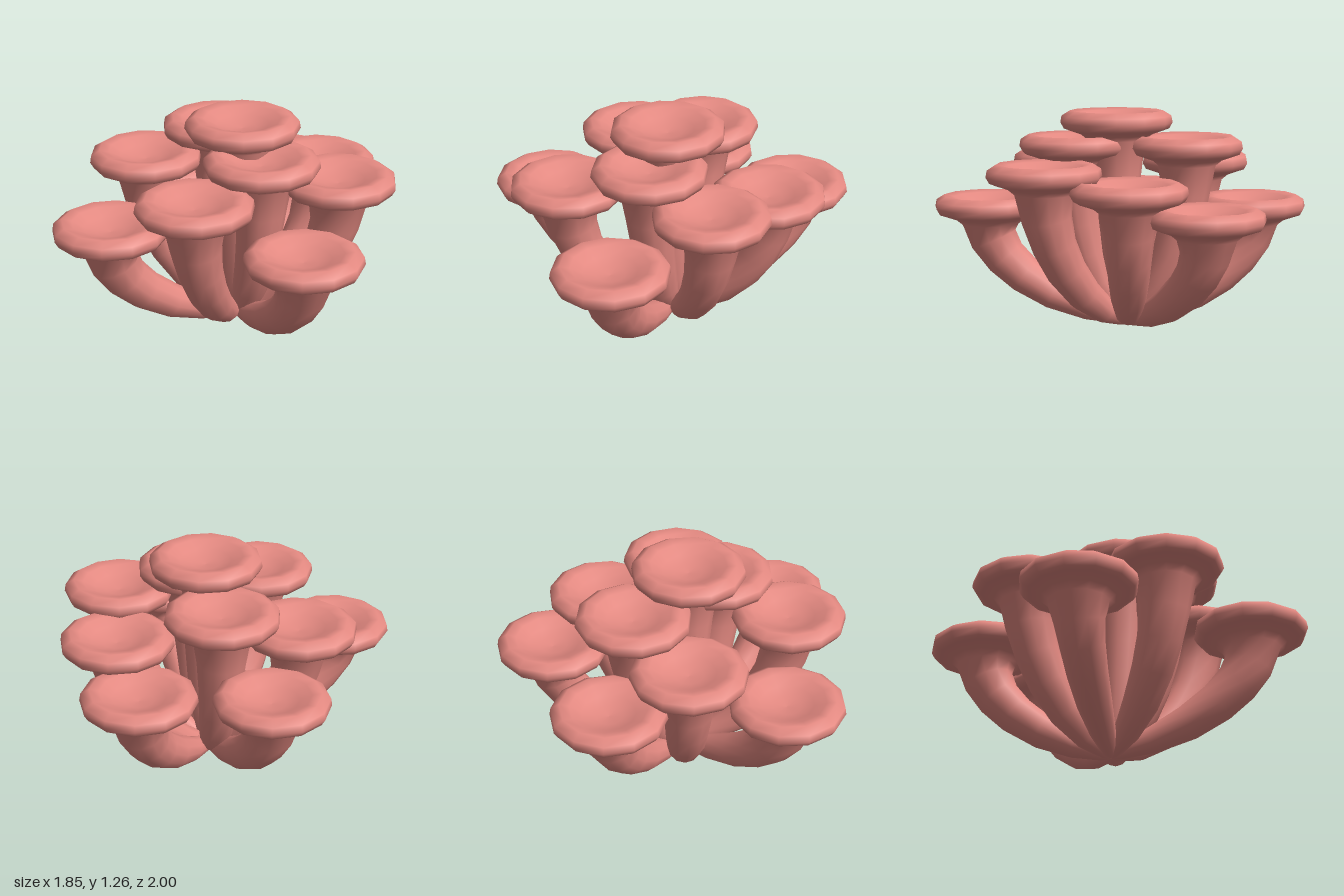
import * as THREE from 'three';

const SIDES = 12;
const ROOT = new THREE.Vector3(0, 0.045, 0.06);

// x, z of each cap and the height of its rim
const CAPS = [
  [0.04, -0.68, 0.78], [0.35, -0.39, 0.92], [-0.6, -0.345, 0.77],
  [-0.22, -0.21, 1.13], [-0.55, 0.09, 1.0], [0.6, 0.05, 1.0],
  [0.05, 0.1, 1.27], [0.225, 0.27, 1.13], [-0.53, 0.63, 0.77],
  [-0.01, 0.67, 1.0], [0.59, 0.62, 0.77],
];

// stem thickness along its length: [t, radius]
const STEM = [
  [0, 0], [0, 0.032], [0.04, 0.048], [0.18, 0.075], [0.36, 0.1],
  [0.54, 0.115], [0.7, 0.126], [0.86, 0.142], [1, 0.168],
];

// flared rim and hollow top: [radius, drop below the rim]
const CAP = [
  [0.205, 0.14], [0.275, 0.115], [0.305, 0.105], [0.325, 0.07],
  [0.318, 0.03], [0.27, 0], [0.215, 0.012], [0.15, 0.045],
  [0.08, 0.065], [0, 0.072],
];

function mushroomGeometry(x, z, top) {
  const up = new THREE.Vector3(0, 1, 0);
  const out = new THREE.Vector3(x - ROOT.x, 0, z - ROOT.z);
  const end = new THREE.Vector3(x, top - 0.17, z);
  const path = new THREE.CubicBezierCurve3(
    ROOT,
    ROOT.clone().addScaledVector(out, 0.55).setY(0.12),
    new THREE.Vector3(x, top * 0.5, z),
    end
  );
  const side = new THREE.Vector3().crossVectors(up, out).normalize();

  // rings: stem follows the bend, cap stays level
  const rings = STEM.map(([t, r]) => ({ c: path.getPoint(t), dir: path.getTangent(t), r }));
  for (const [r, drop] of CAP) {
    rings.push({ c: new THREE.Vector3(x, top - drop, z), dir: up, r });
  }

  const positions = [], index = [];
  rings.forEach(({ c, dir, r }, i) => {
    const u = new THREE.Vector3().crossVectors(side, dir).normalize();
    for (let j = 0; j < SIDES; j++) {
      const a = (j / SIDES) * Math.PI * 2;
      const p = c.clone()
        .addScaledVector(u, r * Math.cos(a))
        .addScaledVector(side, r * Math.sin(a));
      positions.push(p.x, p.y, p.z);
      if (i === 0) continue;
      const k = (j + 1) % SIDES, lo = (i - 1) * SIDES, hi = i * SIDES;
      index.push(lo + j, lo + k, hi + k, lo + j, hi + k, hi + j);
    }
  });

  const geometry = new THREE.BufferGeometry();
  geometry.setAttribute('position', new THREE.Float32BufferAttribute(positions, 3));
  geometry.setIndex(index);
  geometry.computeVertexNormals();
  return geometry;
}

export function createModel() {
  const group = new THREE.Group();
  group.name = 'mushroomCluster';
  const material = new THREE.MeshStandardMaterial({ color: 0xe58a82 });

  CAPS.forEach(([x, z, top], i) => {
    const mesh = new THREE.Mesh(mushroomGeometry(x, z, top), material);
    mesh.name = `mushroom${i + 1}`;
    group.add(mesh);
  });
  return group;
}
